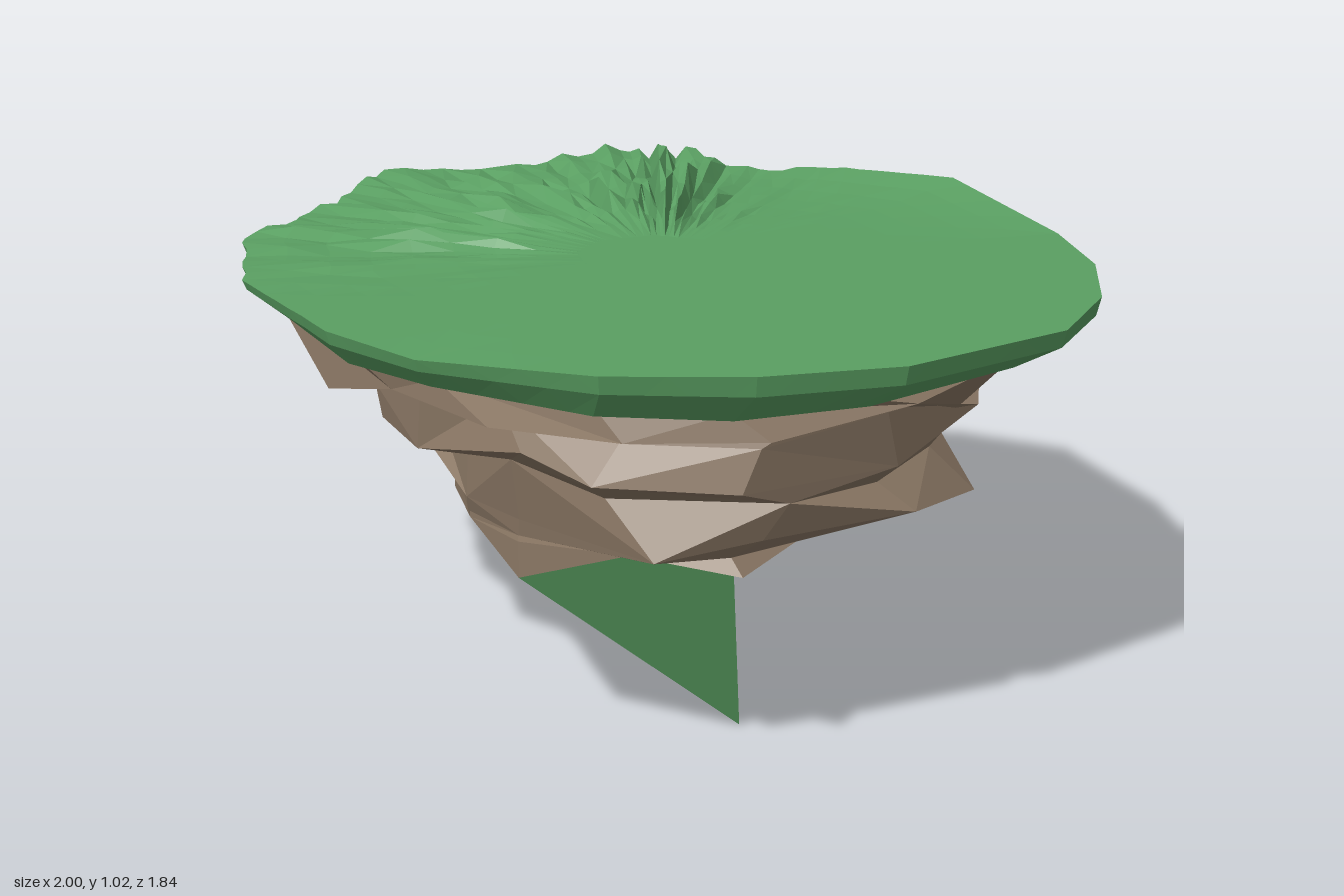
import * as THREE from 'three';

// Small seeded noise in 0..1
const hash = (a, b) => {
  const s = Math.sin(a * 127.1 + b * 311.7 + 4.3) * 43758.5453;
  return s - Math.floor(s);
};

// Rim corners, anticlockwise from above: x, z, top height, ridge height
const RIM = [
  [1, 0.15, 0.92, 0], [0.98, -0.13, 0.92, 0], [0.88, -0.39, 0.92, 0], [0.71, -0.63, 0.92, 0],
  [0.33, -0.92, 0.96, 0], [0.03, -0.92, 0.955, 0.01], [-0.2, -0.88, 0.93, 0.02],
  [-0.41, -0.86, 0.95, 0.11], [-0.6, -0.84, 0.95, 0.1], [-0.78, -0.6, 0.93, 0.04],
  [-1, -0.31, 0.95, 0.035], [-0.97, 0, 0.92, 0.04], [-0.92, 0.35, 0.92, 0.035],
  [-0.69, 0.64, 0.92, 0.01], [-0.29, 0.87, 0.92, 0], [-0.04, 0.92, 0.91, 0],
  [0.34, 0.87, 0.92, 0], [0.6, 0.73, 0.92, 0], [0.82, 0.53, 0.92, 0],
];
const SIDES = RIM.length;
const SPLIT = 7;
const FLAP = 4; // corner where the turf hangs down
const GROUND = 0.917;

// Terraced rock levels: height, -x, +x, -z, +z reach, corner strength
const LEVELS = [
  [0.77, 0.83, 0.82, 0.75, 0.92, 0.3],
  [0.76, 0.8, 0.79, 0.73, 0.79, 0.5],
  [0.67, 0.72, 0.74, 0.82, 0.81, 0.8],
  [0.63, 0.68, 0.66, 0.62, 0.69, 1],
  [0.54, 0.69, 0.74, 0.6, 0.72, 1],
  [0.5, 0.63, 0.62, 0.59, 0.68, 1],
  [0.48, 0.58, 0.56, 0.57, 0.66, 1],
  [0.4, 0.56, 0.42, 0.45, 0.5, 1],
  [0.4, 0.36, 0.31, 0.36, 0.3, 0.7],
  [0.33, 0.31, 0.22, 0.25, 0.2, 0.3],
];

// Ledge in the rock that carries the shard: four columns on the last levels
const LEDGE_LEVEL = 6;
const LEDGE_SIDE = 14;
const LEDGE = [
  [[-0.1, 0.49, 0.66], [0.05, 0.48, 0.71], [0.3, 0.49, 0.69], [0.54, 0.48, 0.66]],
  [[-0.15, 0.4, 0.5], [0.05, 0.4, 0.71], [0.25, 0.455, 0.62], [0.45, 0.51, 0.53]],
  [[-0.15, 0.31, 0.31], [0.05, 0.34, 0.33], [0.25, 0.37, 0.3], [0.3, 0.46, 0.2]],
  [[-0.12, 0.3, 0.2], [0.02, 0.31, 0.2], [0.15, 0.36, 0.18], [0.2, 0.42, 0.1]],
];

// Joins closed rings of points, listed from top/centre to bottom/outside
function skin(rings, material, name) {
  const n = rings[0].length;
  const index = [];
  for (let i = 0; i < rings.length - 1; i++) {
    for (let j = 0; j < n; j++) {
      const k = (j + 1) % n;
      const a = i * n + j, b = (i + 1) * n + j, c = (i + 1) * n + k, d = i * n + k;
      if ((i + j) % 2) index.push(a, b, c, a, c, d);
      else index.push(a, b, d, b, c, d);
    }
  }
  const geo = new THREE.BufferGeometry();
  geo.setAttribute('position', new THREE.Float32BufferAttribute(rings.flat(2), 3));
  geo.setIndex(index);
  const flat = geo.toNonIndexed();
  flat.computeVertexNormals();
  const mesh = new THREE.Mesh(flat, material);
  mesh.name = name;
  return mesh;
}

// Corner list -> finer ring by straight interpolation
function subdivide(corners) {
  const out = [];
  corners.forEach((p, i) => {
    const q = corners[(i + 1) % corners.length];
    for (let s = 0; s < SPLIT; s++) out.push(p.map((v, k) => v + (q[k] - v) * s / SPLIT));
  });
  return out;
}

export function createModel() {
  const group = new THREE.Group();
  group.name = 'floatingIsland';
  const make = (color) => new THREE.MeshStandardMaterial({ color, flatShading: true, side: THREE.DoubleSide });
  const grass = make(0x5a9f62);
  const stone = make(0x8a7764);

  // Grass top: flat disc whose ridges rise away from the centre on one side
  const outline = subdivide(RIM);
  const STEPS = 10;
  const top = [];
  for (let i = 0; i <= STEPS; i++) {
    const t = i / STEPS;
    const rise = Math.sin(Math.max(0, (t - 0.2) / 0.8) * Math.PI * 0.85);
    top.push(outline.map(([x, z, y, ridge], j) => {
      const bump = ridge * rise * (hash(j, 1) ** 2 * 0.6 + hash(j, i + 2) ** 2 * 0.6);
      const notch = j % SPLIT === 0 ? 0 : ridge * (hash(j >> 1, 50) - 0.2) * 0.9;
      const r = t * (1 - notch * t);
      return [x * r, GROUND + (y - GROUND) * t ** 6 + bump, z * r];
    }));
  }
  group.add(skin(top, grass, 'grassTop'));

  // Turf edge tucking in under the rim, with one hanging flap
  const under = RIM.map(([x, z], i) =>
    i === FLAP ? [0.38, 0.72, -0.82]
      : [x * (x > 0 ? 0.89 : 0.93), 0.84 + 0.03 * (hash(i, 9) - 0.5) - 0.03 * x, z * (z > 0 ? 0.95 : 0.9)]);
  const lower = subdivide(under);
  const lip = top[STEPS].map(([x, y, z], j) =>
    [x * 0.99, y + (lower[j][1] - y) * 0.4, z * 0.99]);
  group.add(skin([top[STEPS], lip, lower], grass, 'turfEdge'));

  // Rock underside: jagged terraces with two bulging corners, narrowing to a low point
  const rock = [under.map(([x, y, z], i) => [x * 0.98, i === FLAP ? 0.8 : y + 0.01, z * 0.98])];
  LEVELS.forEach(([y, x0, x1, z0, z1, strength], i) => {
    const ring = [];
    for (let j = 0; j < SIDES; j++) {
      const a = 0.15 - (j + (hash(j, i + 20) - 0.5) * 0.4) / SIDES * Math.PI * 2;
      const c = Math.cos(a), s = Math.sin(a);
      const corner = Math.sin(2 * a) * (s * c > 0 ? 0.24 : 0.17) * strength;
      const r = (0.91 + 0.12 * hash(j, i + 30)) * (1 + corner);
      const ledge = LEDGE[i - LEDGE_LEVEL]?.[j - LEDGE_SIDE];
      ring.push(ledge ?? [
        c * r * (c > 0 ? x1 : x0),
        y + (hash(j, (i >> 1) + 40) - 0.5) * 0.07,
        s * r * (s > 0 ? z1 : z0),
      ]);
    }
    rock.push(ring);
  });
  rock.push(rock[LEVELS.length].map(([x, , z], j) =>
    [0.05 + x * 0.45, 0.28 + 0.03 * hash(j, 60), -0.1 + z * 0.4]));
  rock.push(rock[0].map(() => [0.1, 0.22, -0.17]));
  group.add(skin(rock, stone, 'rockUnderside'));

  // Green shard growing down from the ledge
  const base = [
    [0.45, 0.51, 0.53], [0.25, 0.37, 0.3], [0.2, 0.46, 0.13], [-0.15, 0.3, 0.3], [0.05, 0.4, 0.71],
  ];
  group.add(skin([base, base.map(() => [0.39, 0, 0.37])], grass, 'hangingShard'));

  return group;
}
